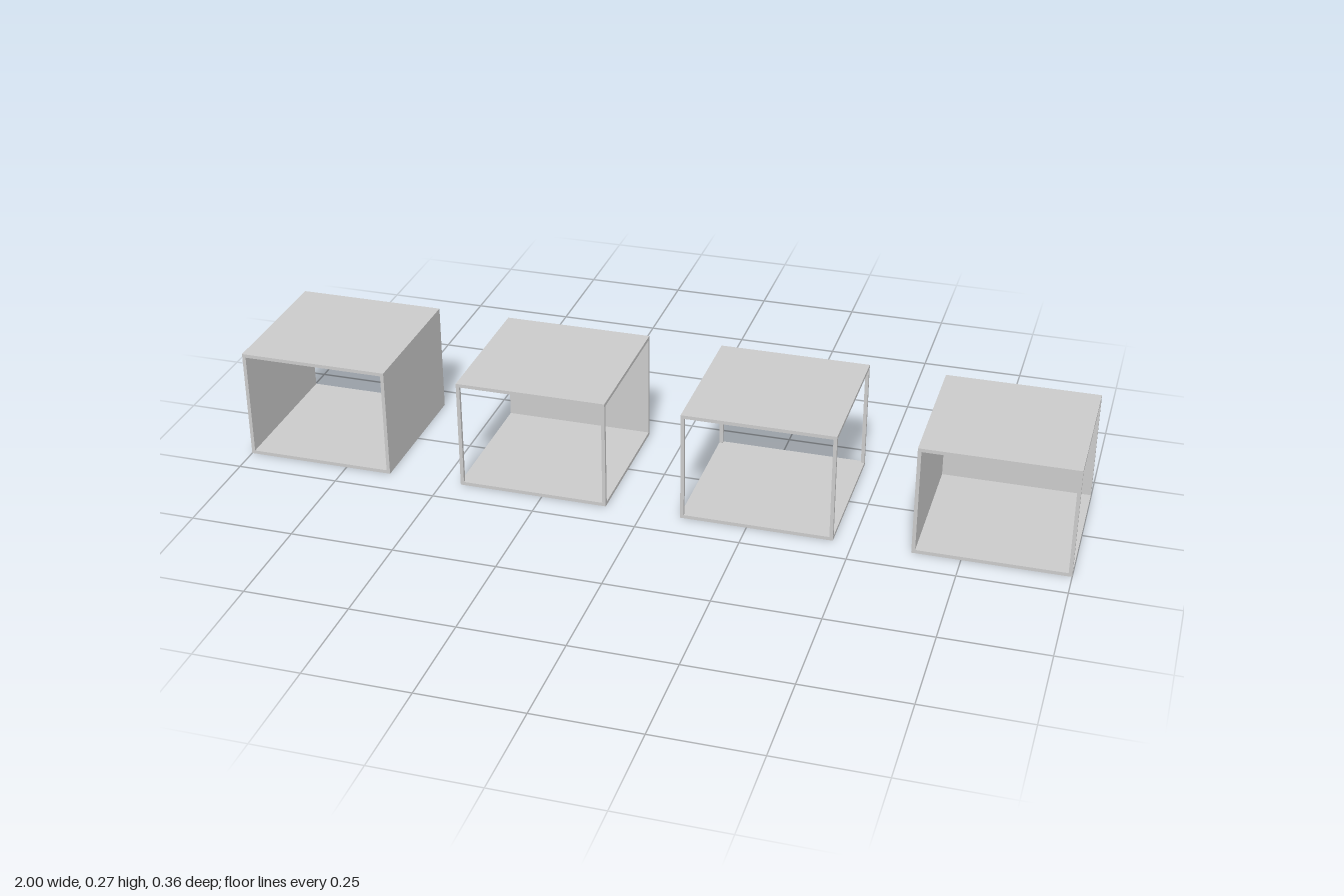
import * as THREE from 'three';

const W = 0.3636, H = 0.2727, D = 0.3636, T = 0.0085, PITCH = 0.5455;
const material = new THREE.MeshStandardMaterial({ color: 0xcccccc });

function addBox(parent, name, size, position) {
  const mesh = new THREE.Mesh(new THREE.BoxGeometry(...size), material);
  mesh.name = name;
  mesh.position.set(...position);
  parent.add(mesh);
}

// One cube module: floor and roof slabs, four corner posts and optional wall panels
function createUnit(walls) {
  const unit = new THREE.Group();
  const innerH = H - 2 * T, innerW = W - 2 * T, innerD = D - 2 * T;
  const px = (W - T) / 2, pz = (D - T) / 2;

  addBox(unit, 'floor', [W, T, D], [0, T / 2, 0]);
  addBox(unit, 'roof', [W, T, D], [0, H - T / 2, 0]);
  for (const sx of [-1, 1]) {
    for (const sz of [-1, 1]) {
      addBox(unit, 'cornerPost', [T, innerH, T], [sx * px, H / 2, sz * pz]);
    }
  }

  // Panels sit flush between the posts
  const panels = {
    leftWall: [[T, innerH, innerD], [px, H / 2, 0]],
    rightWall: [[T, innerH, innerD], [-px, H / 2, 0]],
    backWall: [[innerW, innerH, T], [0, H / 2, -pz]],
  };
  for (const name of walls) addBox(unit, name, ...panels[name]);
  return unit;
}

export function createModel() {
  const model = new THREE.Group();
  model.name = 'modularCubes';

  // Walls of each cube, from -x to +x
  const layouts = [
    ['tunnelCube', ['leftWall', 'rightWall']],
    ['backedCube', ['backWall']],
    ['openCube', []],
    ['cornerCube', ['backWall', 'rightWall']],
  ];
  layouts.forEach(([name, walls], i) => {
    const unit = createUnit(walls);
    unit.name = name;
    unit.position.x = (i - 1.5) * PITCH;
    model.add(unit);
  });
  return model;
}
